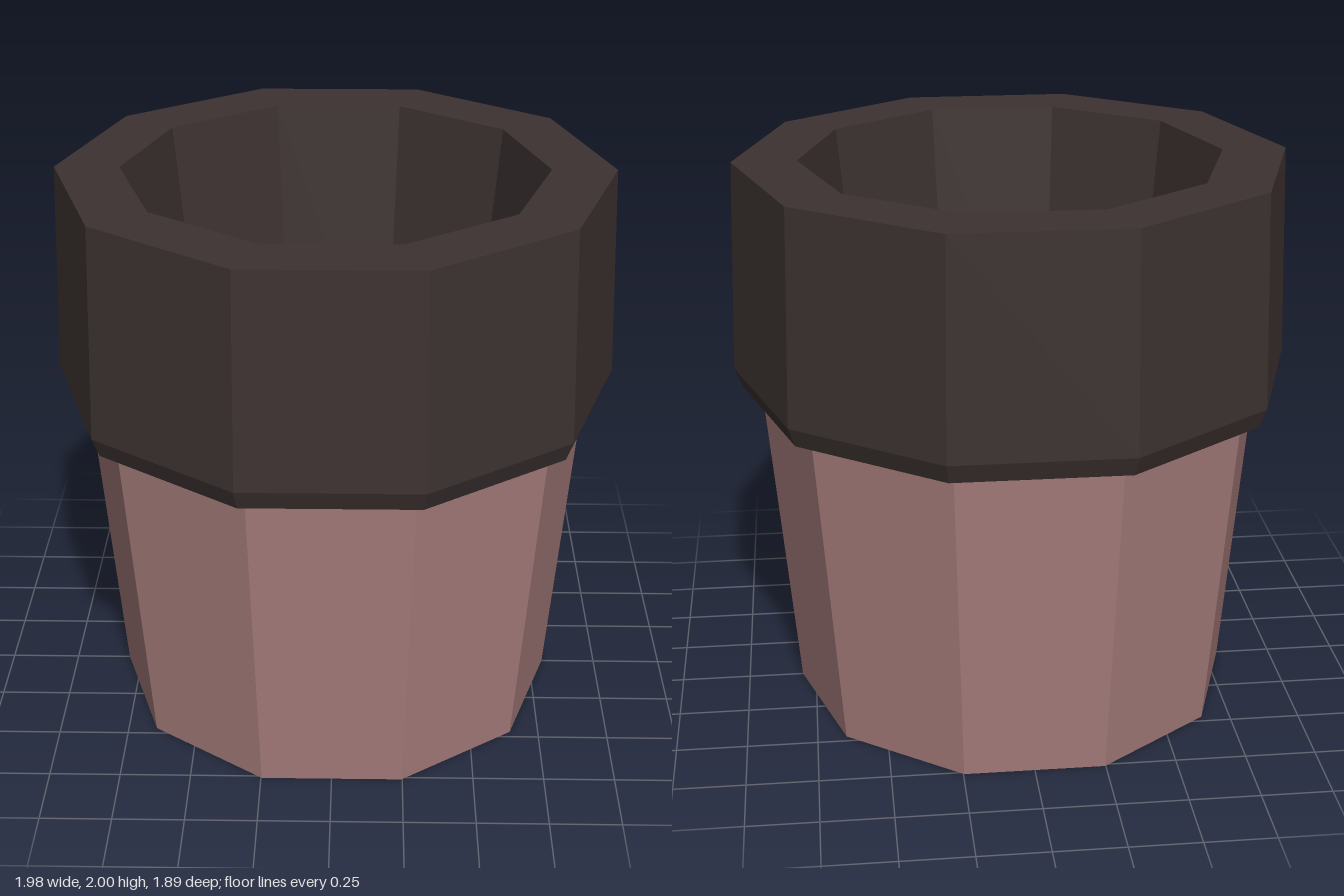
import * as THREE from 'three';

const SIDES = 10;

// Ten-sided turned part with a corner on the +x axis; profile is [radius, height] pairs
function turned(name, profile, material) {
  const points = profile.map(([r, y]) => new THREE.Vector2(r, y));
  const geometry = new THREE.LatheGeometry(points, SIDES, Math.PI / 2).toNonIndexed();
  geometry.computeVertexNormals();
  const mesh = new THREE.Mesh(geometry, material);
  mesh.name = name;
  return mesh;
}

export function createModel() {
  const clay = new THREE.MeshStandardMaterial({ color: 0xa67c7b, flatShading: true });
  clay.name = 'dusty pink clay';
  const dark = new THREE.MeshStandardMaterial({ color: 0x3c3231, flatShading: true });
  dark.name = 'dark brown';

  const pot = new THREE.Group();
  pot.name = 'pot';

  // Tapered body with a closed base
  pot.add(turned('body', [[0, 0], [0.8, 0], [0.9, 1.18]], clay));

  // Heavy collar: underside, bevel, outer wall and flat lip
  pot.add(turned('rim', [[0.9, 1.18], [0.965, 1.18], [0.992, 1.25], [0.965, 2], [0.74, 2]], dark));

  // Hollow inside, narrowing to a flat floor
  pot.add(turned('innerWall', [[0.74, 2], [0.605, 0.8]], dark));
  pot.add(turned('innerFloor', [[0.605, 0.8], [0, 0.8]], dark));

  return pot;
}
